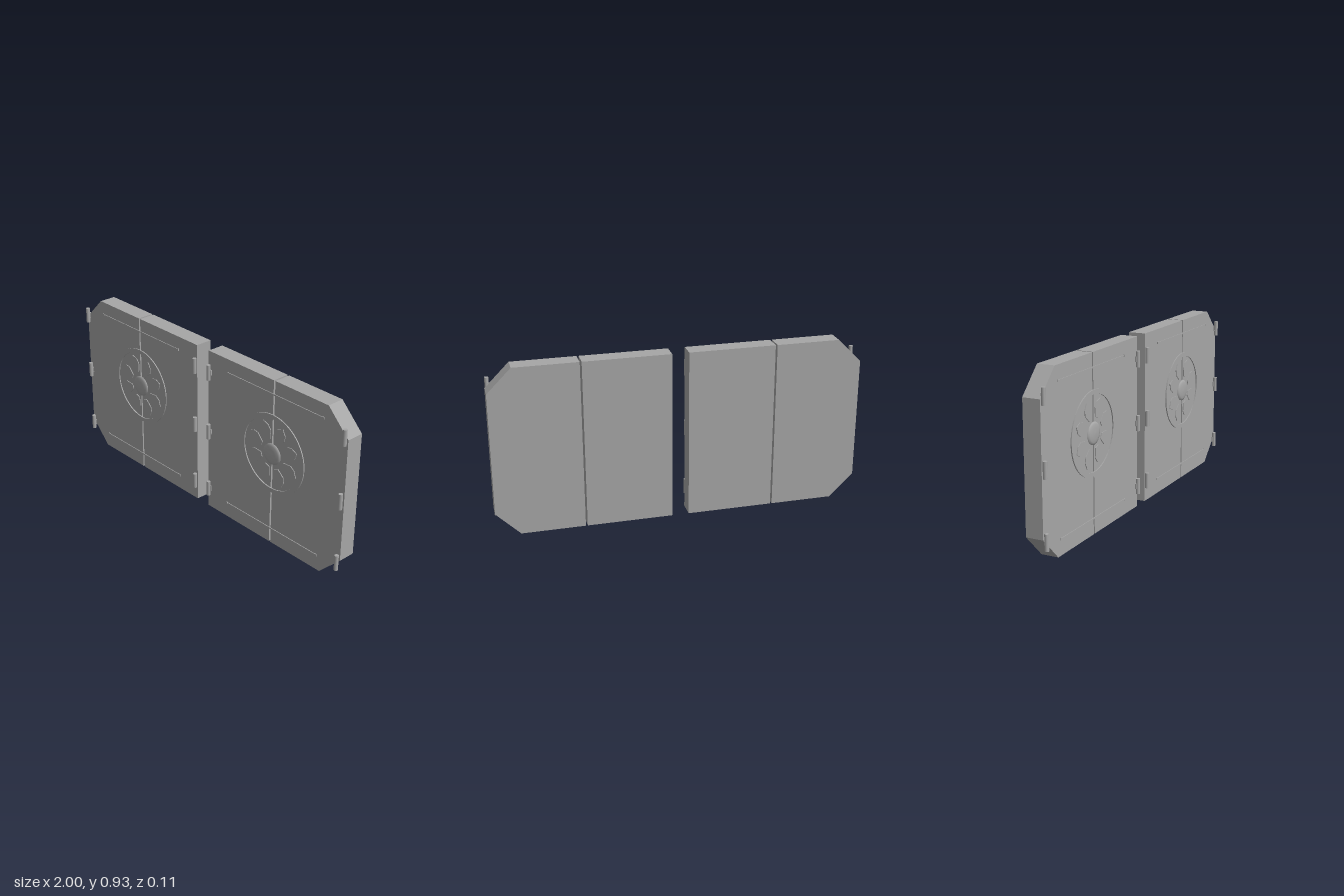
import * as THREE from 'three';

const BACK = -0.057, FACE = 0.037, HEIGHT = 0.93, MID = 0.52, HUB_Y = 0.525;

export function createModel() {
  const stone = new THREE.MeshStandardMaterial({ color: 0xa6a6a6 });
  stone.name = 'grey metal';

  const add = (parent, name, geometry, x = 0, y = 0, z = 0) => {
    const mesh = new THREE.Mesh(geometry, stone);
    mesh.name = name;
    mesh.position.set(x, y, z);
    parent.add(mesh);
    return mesh;
  };
  const polygon = (points) => new THREE.Shape(points.map(([x, y]) => new THREE.Vector2(x, y)));
  const extrude = (shape, depth, curveSegments = 24) =>
    new THREE.ExtrudeGeometry(shape, { depth, bevelEnabled: false, curveSegments });

  // side is +1 for the model's left door and -1 for its right door
  const buildDoor = (side) => {
    const door = new THREE.Group();
    door.name = side > 0 ? 'leftDoor' : 'rightDoor';

    // Two leaves with a narrow open gap; the outer one has cut corners
    const inner = [[0.045, 0], [0.515, 0], [0.515, HEIGHT], [0.045, HEIGHT]];
    const outer = [[0.525, 0], [0.87, 0], [1, 0.13], [1, 0.8], [0.87, HEIGHT], [0.525, HEIGHT]];
    for (const [name, pts] of [['innerLeaf', inner], ['outerLeaf', outer]]) {
      const shape = polygon(pts.map(([x, y]) => [x * side, y]));
      add(door, name, extrude(shape, FACE - BACK), 0, 0, BACK);
    }

    // Thin horizontal bars with small end caps
    for (const y of [0.085, 0.855]) {
      add(door, 'trimBar', new THREE.BoxGeometry(0.65, 0.007, 0.006), side * MID, y, FACE + 0.001);
      for (const end of [-1, 1]) {
        add(door, 'trimBarEnd', new THREE.BoxGeometry(0.008, 0.012, 0.007), side * MID + end * 0.325, y, FACE + 0.001);
      }
    }

    // Round ornament: ring, eight petals and a domed boss
    const ornament = new THREE.Group();
    ornament.name = 'ornament';
    ornament.position.set(side * MID, HUB_Y, FACE);
    door.add(ornament);

    const ring = new THREE.Shape().absarc(0, 0, 0.22, 0, Math.PI * 2);
    ring.holes.push(new THREE.Path().absarc(0, 0, 0.197, 0, Math.PI * 2, true));
    add(ornament, 'ring', extrude(ring, 0.008), 0, 0, -0.002);

    const petal = extrude(polygon([
      [0.08, -0.014], [0.125, -0.036], [0.155, -0.029], [0.18, 0],
      [0.155, 0.029], [0.125, 0.036], [0.08, 0.014],
    ]), 0.006);
    for (let i = 0; i < 8; i++) {
      add(ornament, 'petal', petal, 0, 0, -0.002).rotation.z = (i + 0.5) * Math.PI / 4;
    }

    const dome = [[0.058, -0.002], [0.058, 0.005], [0.046, 0.009], [0.028, 0.012], [0, 0.013]];
    const boss = new THREE.LatheGeometry(dome.map(([r, y]) => new THREE.Vector2(r, y)), 24);
    add(ornament, 'boss', boss).rotation.x = Math.PI / 2;

    // Hinge barrels on short tabs along both vertical edges
    for (const x of [0.055, 0.986]) {
      for (const y of [0.1175, 0.4675, 0.8125]) {
        add(door, 'hingeBarrel', new THREE.CylinderGeometry(0.011, 0.011, 0.085, 12), side * x, y, 0.047);
        const inward = x < 0.5 ? 0.006 : -0.006;
        add(door, 'hingeTab', new THREE.BoxGeometry(0.016, 0.03, 0.01), side * (x + inward), y, 0.037);
      }
    }
    return door;
  };

  const model = new THREE.Group();
  model.name = 'doubleDoors';
  model.add(buildDoor(-1), buildDoor(1));
  return model;
}
